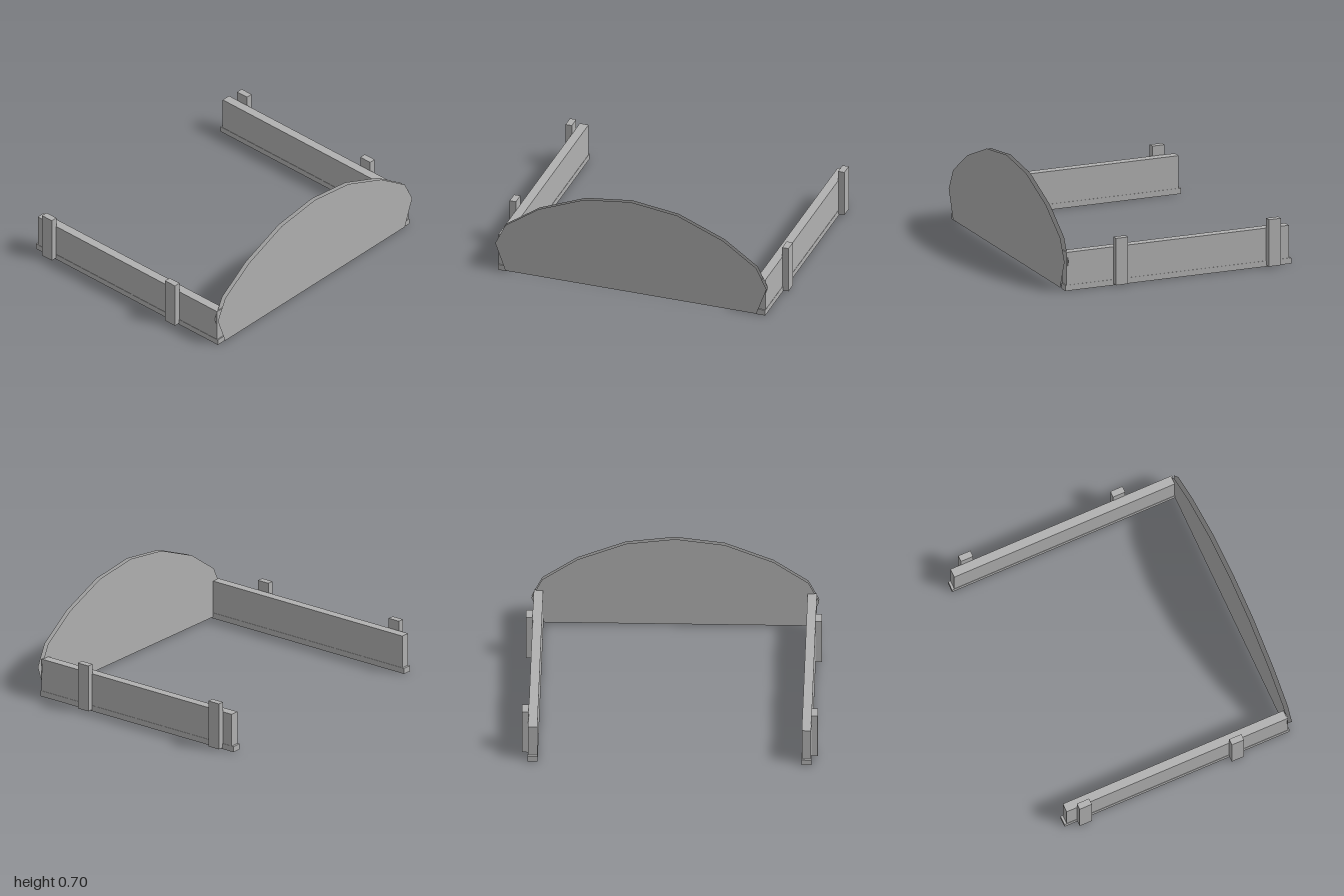
import * as THREE from 'three';

export function createModel() {
  const model = new THREE.Group();
  model.name = 'archedFrame';
  const grey = new THREE.MeshStandardMaterial({ color: 0xb0b0b0, side: THREE.DoubleSide });
  grey.name = 'plain grey';

  // Box given by its lower and upper corners
  function box(name, [x0, y0, z0], [x1, y1, z1], parent) {
    const mesh = new THREE.Mesh(new THREE.BoxGeometry(x1 - x0, y1 - y0, z1 - z0), grey);
    mesh.position.set((x0 + x1) / 2, (y0 + y1) / 2, (z0 + z1) / 2);
    mesh.name = name;
    parent.add(mesh);
  }

  // Two matching side rails: low base, wall and two outer posts
  for (const [name, turn] of [['frontRail', 1], ['backRail', -1]]) {
    const rail = new THREE.Group();
    rail.name = name;
    const part = (label, x0, x1, y0, y1, z0, z1) =>
      box(label, [x0, y0, Math.min(z0 * turn, z1 * turn)], [x1, y1, Math.max(z0 * turn, z1 * turn)], rail);
    part('railBase', -0.84, 0.827, 0, 0.04, 0.892, 0.959);
    part('railWall', -0.823, 0.819, 0.04, 0.27, 0.894, 0.957);
    for (const x of [-0.701, 0.427]) part('post', x - 0.045, x + 0.045, 0.01, 0.34, 0.955, 1);
    model.add(rail);
  }

  // Arched end panel: an outer and an inner sheet with an open rim
  const half = [[0.9, 0.01], [0.973, 0.21], [0.9, 0.36], [0.663, 0.527], [0.333, 0.662]];
  const outline = [...half, [0, 0.705], ...half.map(([z, y]) => [-z, y]).reverse()];
  const sheet = new THREE.ShapeGeometry(new THREE.Shape(outline.map(([z, y]) => new THREE.Vector2(z, y))));
  const panel = new THREE.Group();
  panel.name = 'archedPanel';
  for (const [name, x, turn] of [['outerSheet', 0.84, 1], ['innerSheet', 0.811, -1]]) {
    const mesh = new THREE.Mesh(sheet, grey);
    mesh.rotation.y = turn * Math.PI / 2;
    mesh.position.x = x;
    mesh.name = name;
    panel.add(mesh);
  }
  model.add(panel);
  return model;
}
